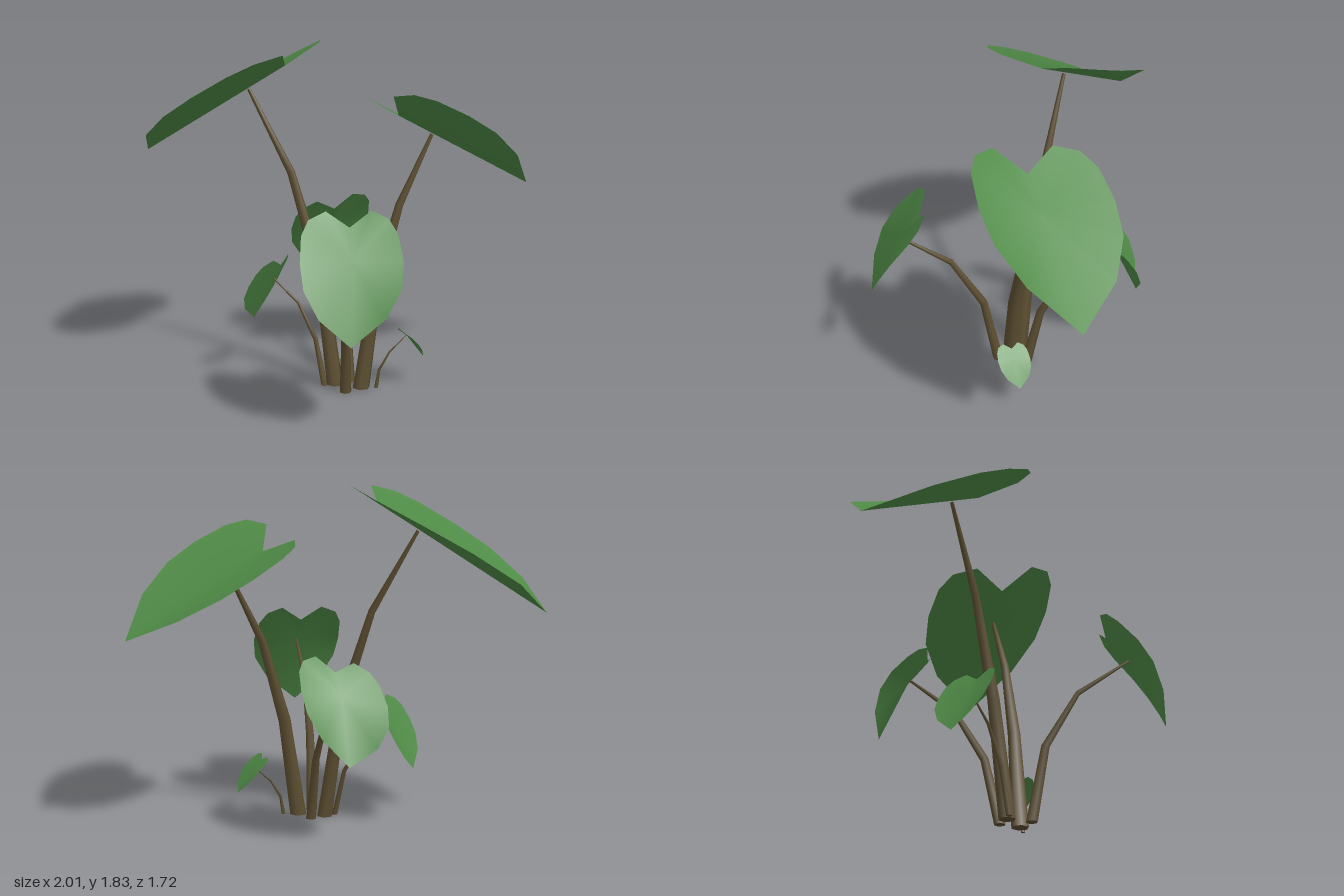
import * as THREE from 'three';

const V = (x, y, z) => new THREE.Vector3(x, y, z);

// Half outline of a heart-shaped blade: x runs along the midrib, y is the share of half width
const HALF = [[-0.13, 0.46], [-0.05, 0.8], [0.08, 0.96], [0.3, 1.02], [0.52, 0.96], [0.76, 0.66]];

function geometryFrom(points, index) {
  const geo = new THREE.BufferGeometry().setFromPoints(points);
  geo.setIndex(index);
  geo.computeVertexNormals();
  return geo;
}

// Tapered six-sided stem in three straight lengths along a bent path
function stemGeometry(foot, bend, end, radius) {
  const sides = 6, joints = 3, verts = [], index = [];
  const curve = new THREE.QuadraticBezierCurve3(foot, bend, end);
  const up = V(0, 1, 0);
  for (let i = 0; i <= joints; i++) {
    const t = i / joints, r = radius * (1 - 0.78 * t);
    const dir = i === 0 ? up : curve.getTangent(t);
    const turn = new THREE.Quaternion().setFromUnitVectors(up, dir);
    for (let k = 0; k < sides; k++) {
      const a = (k / sides) * Math.PI * 2;
      verts.push(V(r * Math.cos(a), 0, r * Math.sin(a)).applyQuaternion(turn).add(curve.getPoint(t)));
      if (i === 0) continue;
      const n = (k + 1) % sides, lo = (i - 1) * sides, hi = i * sides;
      index.push(lo + k, hi + k, lo + n, lo + n, hi + k, hi + n);
    }
  }
  // Flat cap at the foot, with its own vertices
  const cap = verts.length;
  verts.push(foot, ...verts.slice(0, sides));
  for (let k = 0; k < sides; k++) index.push(cap, cap + 1 + k, cap + 1 + ((k + 1) % sides));
  return geometryFrom(verts, index);
}

// Heart-shaped blade fanned around a hub on the midrib
function bladeGeometry(rib, left, right, rightTip) {
  const edge = (base, end) => ([v, u]) =>
    rib(v).addScaledVector(base.clone().lerp(end, Math.max(v, 0)), u);
  const loop = [
    rib(0), ...HALF.map(edge(right, rightTip)),
    rib(1), ...HALF.map(edge(left, left)).reverse(),
  ];
  const index = [];
  loop.forEach((_, i) => index.push(0, i + 1, ((i + 1) % loop.length) + 1));
  return geometryFrom([rib(0.26), ...loop], index);
}

export function createModel() {
  const leafGreen = new THREE.MeshStandardMaterial({ color: 0x4f8a46, side: THREE.DoubleSide });
  leafGreen.name = 'leafGreen';
  const stemBrown = new THREE.MeshStandardMaterial({ color: 0x5c4e31 });
  stemBrown.name = 'stemBrown';

  const plant = new THREE.Group();
  plant.name = 'plant';

  // One stem with its blade: the stem ends under the hub of the blade
  function addShoot(name, { radius, foot, bend, notch, tip, left, right, rightTip = right, arch = V(0, 0, 0) }) {
    const rib = (v) => notch.clone().lerp(tip, v).addScaledVector(arch, 4 * Math.max(v, 0) * (1 - v));
    const end = rib(0.25).add(V(0, -radius * 0.15, 0));
    const stem = new THREE.Mesh(stemGeometry(foot, bend, end, radius), stemBrown);
    stem.name = name + 'Stem';
    const leaf = new THREE.Mesh(bladeGeometry(rib, left, right, rightTip), leafGreen);
    leaf.name = name + 'Leaf';
    const shoot = new THREE.Group();
    shoot.name = name + 'Shoot';
    shoot.add(stem, leaf);
    plant.add(shoot);
  }

  addShoot('side', {
    radius: 0.047, foot: V(0, 0, 0.11), bend: V(0.085, 0.87, 0.1),
    notch: V(0.22, 1.465, 0.06), tip: V(0.99, 1.045, 0),
    left: V(-0.03, 0.03, -0.366), right: V(0.035, 0.157, 0.325),
  });
  addShoot('tallBack', {
    radius: 0.045, foot: V(-0.12, 0, 0.02), bend: V(-0.16, 1, -0.07),
    notch: V(-0.33, 1.72, -0.17), tip: V(-0.96, 1.19, -0.83),
    left: V(-0.32, 0.02, 0.26), right: V(0.28, 0.09, -0.33), rightTip: V(-0.02, 0.03, -0.3),
  });
  addShoot('front', {
    radius: 0.032, foot: V(-0.1, 0, 0.15), bend: V(-0.115, 0.69, 0.185),
    notch: V(-0.2, 1.01, 0.54), tip: V(-0.28, 0.49, 0.82), arch: V(0, 0, 0.06),
    left: V(0.23, 0.02, 0.07), right: V(-0.25, 0.02, -0.04),
  });
  addShoot('back', {
    radius: 0.03, foot: V(-0.03, 0, 0), bend: V(-0.025, 0.59, -0.06),
    notch: V(0, 0.88, -0.38), tip: V(0.03, 0.44, -0.62), arch: V(0, 0.01, -0.04),
    left: V(-0.2, -0.03, -0.1), right: V(0.22, 0.06, 0),
  });
  addShoot('low', {
    radius: 0.017, foot: V(-0.18, 0, 0.02), bend: V(-0.205, 0.43, -0.03),
    notch: V(-0.365, 0.64, -0.176), tip: V(-0.485, 0.31, -0.32),
    left: V(-0.15, 0, 0.075), right: V(0.08, 0, -0.14),
  });
  addShoot('sprout', {
    radius: 0.011, foot: V(0.075, 0, 0.14), bend: V(0.07, 0.15, 0.14),
    notch: V(0.2, 0.318, 0.146), tip: V(0.345, 0.15, 0.137), arch: V(0.01, 0.01, 0),
    left: V(0, 0, -0.085), right: V(0, 0.01, 0.09),
  });
  return plant;
}
